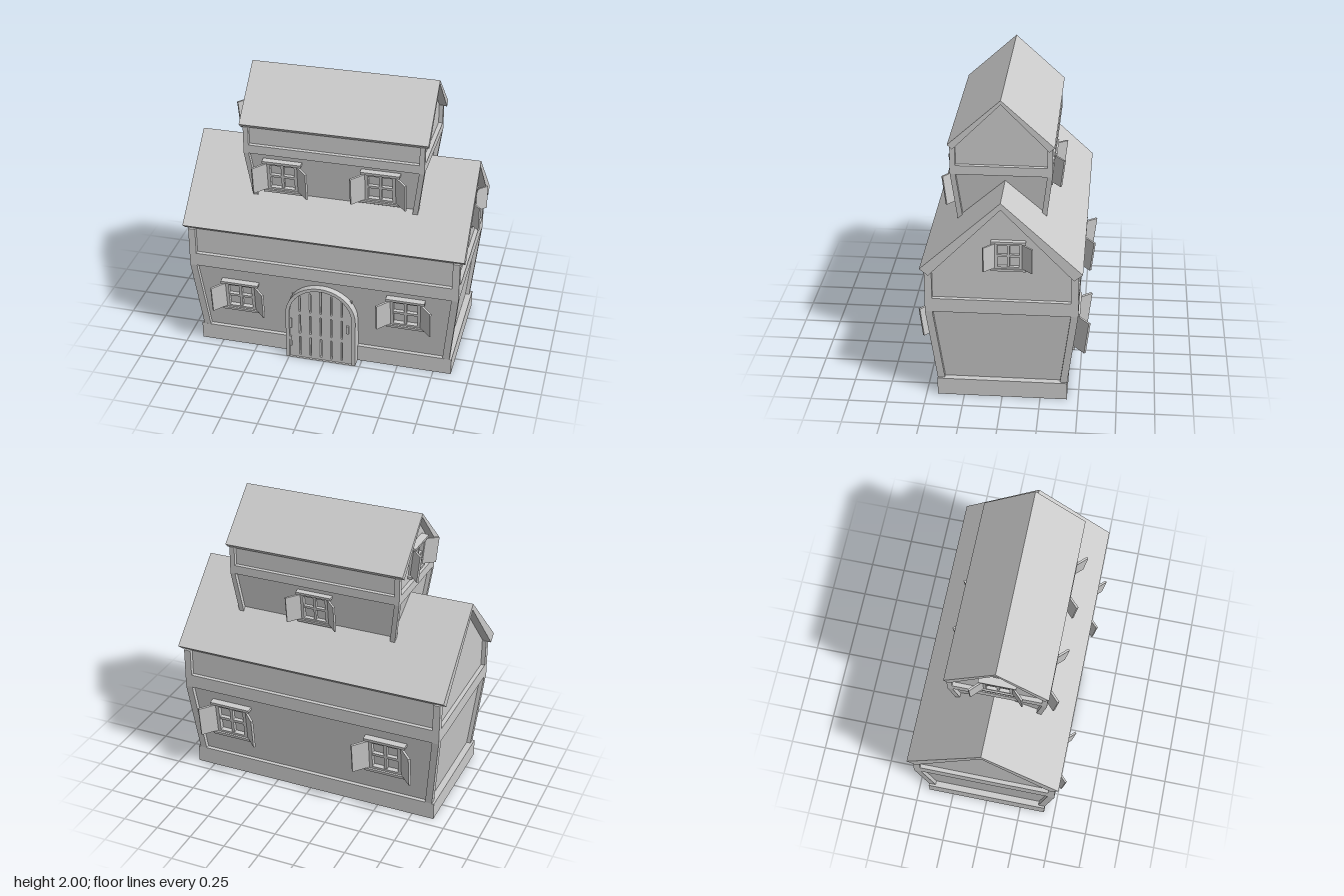
import * as THREE from 'three';

const material = new THREE.MeshStandardMaterial({ color: 0xcccccc, flatShading: true });

function part(name, geometry, parent, x = 0, y = 0, z = 0) {
  const mesh = new THREE.Mesh(geometry, material);
  mesh.name = name;
  mesh.position.set(x, y, z);
  parent.add(mesh);
  return mesh;
}

function box(name, parent, w, h, d, x = 0, y = 0, z = 0) {
  return part(name, new THREE.BoxGeometry(w, h, d), parent, x, y, z);
}

// Solid through stacked rectangles, each given as [y, x0, x1, z0, z1]
function loft(levels) {
  const pos = [], index = [], n = levels.length;
  for (const [y, x0, x1, z0, z1] of levels) pos.push(x0, y, z1, x1, y, z1, x1, y, z0, x0, y, z0);
  for (let l = 0; l < n - 1; l++) {
    for (let i = 0; i < 4; i++) {
      const a = l * 4 + i, b = l * 4 + (i + 1) % 4;
      index.push(a, b, b + 4, a, b + 4, a + 4);
    }
  }
  const t = (n - 1) * 4;
  index.push(0, 2, 1, 0, 3, 2, t, t + 1, t + 2, t, t + 2, t + 3);
  const g = new THREE.BufferGeometry();
  g.setAttribute('position', new THREE.Float32BufferAttribute(pos, 3));
  g.setIndex(index);
  const flat = g.toNonIndexed();
  flat.computeVertexNormals();
  return flat;
}

// Timber-framed storey: recessed gabled core, corner posts, band and roof
function storey(name, o) {
  const house = new THREE.Group();
  house.name = name;
  house.position.set(o.x, 0, o.z);
  const inset = 0.028;
  const core = o.outline.map(([y, hx, hz]) => [y, -hx + inset, hx - inset, -hz + inset, hz - inset]);
  const top = core[core.length - 1];
  core.push([o.roof.innerApex, top[1], top[2], -0.002, 0.002]);
  part('wall', loft(core), house);

  for (const sx of [-1, 1]) {
    for (const sz of [-1, 1]) {
      const levels = o.outline.map(([y, hx, hz]) => {
        const xs = [sx * hx, sx * (hx - o.post)], zs = [sz * hz, sz * (hz - o.post)];
        return [y, Math.min(...xs), Math.max(...xs), Math.min(...zs), Math.max(...zs)];
      });
      part('cornerPost', loft(levels), house);
    }
  }

  const [b0, b1] = o.band, [, hx, hz] = o.outline[1];
  box('band', house, hx * 2, b1 - b0, hz * 2, 0, (b0 + b1) / 2, 0);

  // Chevron roof drawn in the z-y plane and run along x
  const r = o.roof, s = new THREE.Shape();
  s.moveTo(0, r.apex);
  s.lineTo(-r.eave[0], r.eave[1]);
  s.lineTo(-r.lip[0], r.lip[1]);
  s.lineTo(0, r.innerApex);
  s.lineTo(r.lip[0], r.lip[1]);
  s.lineTo(r.eave[0], r.eave[1]);
  const g = new THREE.ExtrudeGeometry(s, { depth: r.length, bevelEnabled: false });
  g.translate(0, 0, -r.length / 2);
  g.rotateY(Math.PI / 2);
  part('roof', g, house);
  return house;
}

// Four-pane window facing +z with two half-open shutters
function window_(name, parent, x, y, z, turn, tilt, scale = 1) {
  const win = new THREE.Group();
  win.name = name;
  win.position.set(x, y, z);
  win.rotation.order = 'YXZ';
  win.rotation.set(tilt, turn, 0);
  win.scale.setScalar(scale);
  parent.add(win);
  for (const s of [-1, 1]) {
    box('jamb', win, 0.024, 0.22, 0.04, s * 0.094, 0, 0.008);
    box('rail', win, 0.2, 0.022, 0.04, 0, s * 0.1, 0.008);
    box(s > 0 ? 'lintel' : 'sill', win, 0.262, 0.018, 0.055, 0, s * 0.113, 0.012);
    const hinge = new THREE.Group();
    hinge.name = 'shutter';
    hinge.position.set(s * 0.106, 0, 0.022);
    hinge.rotation.y = -s * Math.PI / 4;
    box('shutterBoard', hinge, 0.11, 0.2, 0.014, s * 0.055, 0, 0);
    win.add(hinge);
  }
  box('mullion', win, 0.018, 0.2, 0.024, 0, 0, 0.01);
  box('crossbar', win, 0.18, 0.018, 0.024, 0, 0, 0.01);
}

function archPath(Type, w, spring, rise) {
  const p = new Type();
  p.moveTo(-w, 0);
  p.lineTo(w, 0);
  p.lineTo(w, spring);
  p.absellipse(0, spring, w, rise, 0, Math.PI, false);
  p.lineTo(-w, 0);
  return p;
}

// Arched plank door with slots between the boards
function door() {
  const group = new THREE.Group();
  group.name = 'door';
  const extrude = (s, depth) => new THREE.ExtrudeGeometry(s, { depth, bevelEnabled: false, curveSegments: 10 });
  const frame = archPath(THREE.Shape, 0.245, 0.36, 0.235);
  frame.holes.push(archPath(THREE.Path, 0.22, 0.36, 0.212));
  part('doorFrame', extrude(frame, 0.11), group, 0, 0, 0.39);

  const leaf = archPath(THREE.Shape, 0.222, 0.36, 0.214);
  for (let i = -2; i <= 2; i++) {
    const x = i * 0.074, end = 0.56 - Math.abs(i) * 0.025;
    for (const [y0, y1] of [[0.02, 0.17], [0.2, 0.35], [0.38, end]]) {
      const slot = new THREE.Path();
      slot.moveTo(x - 0.006, y0);
      slot.lineTo(x - 0.006, y1);
      slot.lineTo(x + 0.006, y1);
      slot.lineTo(x + 0.006, y0);
      leaf.holes.push(slot);
    }
  }
  part('doorLeaf', extrude(leaf, 0.045), group, 0, 0, 0.44);
  box('doorBack', group, 0.42, 0.5, 0.03, 0, 0.25, 0.44);
  box('handle', group, 0.016, 0.06, 0.02, 0.19, 0.29, 0.49);
  for (const y of [0.13, 0.28]) box('hinge', group, 0.02, 0.08, 0.012, -0.215, y, 0.488);
  return group;
}

export function createModel() {
  const model = new THREE.Group();
  model.name = 'house';

  const lower = storey('lowerStorey', {
    x: -0.015, z: 0, post: 0.047, band: [0.645, 0.74],
    outline: [[0.1, 0.87, 0.423], [0.645, 0.925, 0.49], [0.93, 0.925, 0.49]],
    roof: { apex: 1.44, innerApex: 1.395, eave: [0.515, 0.965], lip: [0.46, 0.92], length: 1.91 },
  });
  box('plinth', lower, 1.775, 0.12, 0.852, 0, 0.06, 0);

  const upper = storey('upperStorey', {
    x: 0.028, z: 0.023, post: 0.034, band: [1.485, 1.545],
    outline: [[1.05, 0.545, 0.272], [1.485, 0.602, 0.325], [1.675, 0.602, 0.325]],
    roof: { apex: 2, innerApex: 1.973, eave: [0.337, 1.695], lip: [0.305, 1.665], length: 1.25 },
  });
  model.add(lower, upper);

  const entrance = door();
  entrance.position.x = -0.025;
  model.add(entrance);

  // Windows sit on the leaning walls
  const back = Math.PI, side = Math.PI / 2;
  window_('frontWindow', model, -0.598, 0.423, 0.436, 0, 0.12);
  window_('frontWindow', model, 0.555, 0.473, 0.442, 0, 0.12);
  window_('backWindow', model, -0.562, 0.43, -0.437, back, 0.12, 1.12);
  window_('backWindow', model, 0.578, 0.43, -0.437, back, 0.12, 1.12);
  window_('gableWindow', model, 0.882, 1.06, -0.045, side, 0, 0.84);
  window_('upperFrontWindow', model, -0.32, 1.322, 0.3, 0, 0.12);
  window_('upperFrontWindow', model, 0.34, 1.332, 0.301, 0, 0.12);
  window_('upperBackWindow', model, 0.028, 1.33, -0.255, back, 0.12, 0.95);
  window_('upperGableWindow', model, -0.552, 1.69, 0.03, -side, 0.1, 0.92);
  return model;
}
